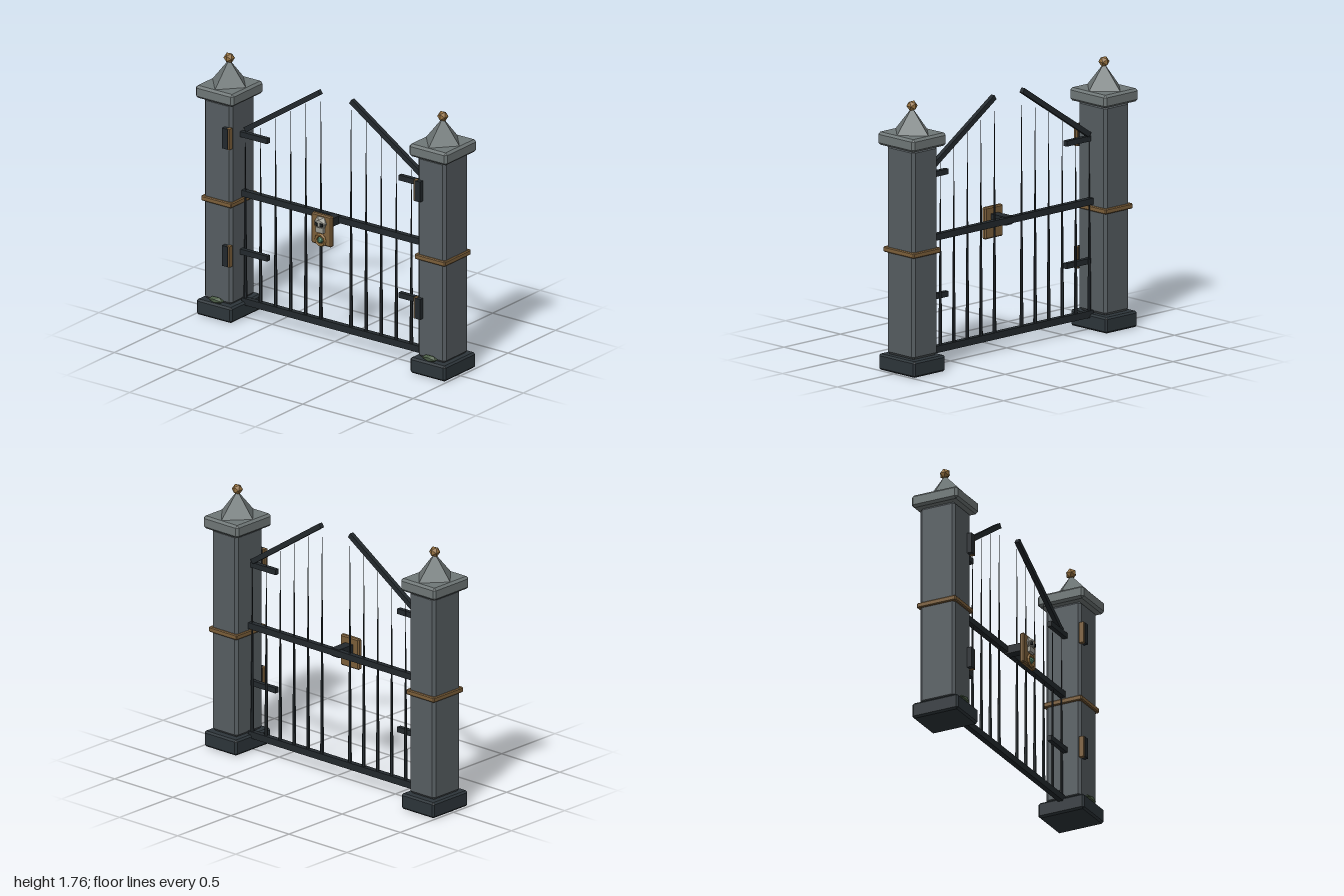
import * as THREE from 'three';
import { ConvexGeometry } from 'three/addons/geometries/ConvexGeometry.js';

const mat = (color) => new THREE.MeshStandardMaterial({ color, flatShading: true });
const stone = mat(0x565d61), capStone = mat(0x6f7777), darkStone = mat(0x2d353a);
const iron = mat(0x23292d), bronze = mat(0x7c5f3a), gold = mat(0x94703f);
const moss = mat(0x4a5c45), bone = mat(0x9b9a92), gem = mat(0x5f9a7c), dark = mat(0x1c2022);

const Z = -0.012; // plane of the gate

function add(parent, name, geometry, material, x, y, z) {
  const mesh = new THREE.Mesh(geometry, material);
  mesh.name = name;
  mesh.position.set(x, y, z);
  parent.add(mesh);
  return mesh;
}

const box = (w, h, d) => new THREE.BoxGeometry(w, h, d);

// Box with every edge cut at 45 degrees
function chamferBox(w, h, d, c) {
  const points = [], half = [w / 2, h / 2, d / 2];
  for (let axis = 0; axis < 3; axis++)
    for (const sx of [-1, 1]) for (const sy of [-1, 1]) for (const sz of [-1, 1]) {
      const p = half.map((v, i) => (i === axis ? v : v - c));
      points.push(new THREE.Vector3(p[0] * sx, p[1] * sy, p[2] * sz));
    }
  return new ConvexGeometry(points);
}

// Stone pillar with its cap, finial, band and moss
function createPillar(side) {
  const g = new THREE.Group();
  g.name = side > 0 ? 'leftPillar' : 'rightPillar';
  const x = side * 0.85;
  add(g, 'base', chamferBox(0.28, 0.105, 0.33, 0.012), darkStone, x, 0.0525, Z);
  add(g, 'shaft', chamferBox(0.22, 1.37, 0.252, 0.018), stone, x, 0.79, Z);
  add(g, 'band', chamferBox(0.242, 0.035, 0.28, 0.006), bronze, x, 0.79, Z);
  add(g, 'capSlab', chamferBox(0.3, 0.085, 0.33, 0.015), capStone, x, 1.515, Z);
  add(g, 'capPyramid', new THREE.ConeGeometry(1, 0.165, 4), capStone, x, 1.637, Z).scale.set(0.135, 1, 0.152);
  add(g, 'finial', new THREE.IcosahedronGeometry(0.036, 0), gold, x, 1.73, Z);
  add(g, 'moss', new THREE.IcosahedronGeometry(1, 0), moss, x, 0.122, 0.125).scale.set(0.062, 0.022, 0.027);
  return g;
}

// Gate leaf: sloping top rail, tapering bars and hinges
function createLeaf(side) {
  const g = new THREE.Group();
  g.name = side > 0 ? 'leftLeaf' : 'rightLeaf';
  const outer = [0.715, 1.275], inner = [0.125, 1.665];
  const dx = inner[0] - outer[0], dy = inner[1] - outer[1];
  const rail = add(g, 'topRail', box(Math.hypot(dx, dy), 0.034, 0.03), iron,
    side * (outer[0] + inner[0]) / 2, (outer[1] + inner[1]) / 2, Z);
  rail.rotation.z = side * Math.atan2(dy, dx) + (side < 0 ? Math.PI : 0);

  for (let i = 0; i < 6; i++) {
    const x = 0.12 * (i + 1);
    const tip = 1.64 - 0.079 * i, foot = 0.1;
    add(g, 'bar', new THREE.CylinderGeometry(0.0008, 0.0125, tip - foot, 6), iron, side * x, (tip + foot) / 2, Z);
  }
  for (const y of [0.445, 1.245]) {
    add(g, 'hingeStrap', box(0.22, 0.036, 0.03), iron, side * 0.634, y, 0.006);
    add(g, 'hingePlate', box(0.044, 0.138, 0.04), iron, side * 0.766, y, 0.125);
    add(g, 'hingePin', box(0.022, 0.142, 0.032), bronze, side * 0.743, y, 0.125);
  }
  return g;
}

// Lock plate with a small skull and a gem in a ring
function createLock() {
  const g = new THREE.Group();
  g.name = 'lock';
  add(g, 'lockStem', box(0.064, 0.055, 0.14), iron, 0, 0.835, 0.05);
  add(g, 'lockPlate', chamferBox(0.16, 0.208, 0.034, 0.008), bronze, 0, 0.804, 0.129);
  add(g, 'skull', new THREE.IcosahedronGeometry(1, 0), bone, 0, 0.855, 0.145).scale.set(0.052, 0.046, 0.032);
  add(g, 'jaw', box(0.06, 0.035, 0.028), bone, 0, 0.808, 0.152);
  for (const side of [-1, 1])
    add(g, 'eye', box(0.018, 0.02, 0.012), dark, side * 0.02, 0.848, 0.169);
  add(g, 'ring', new THREE.TorusGeometry(0.035, 0.011, 5, 10), gold, 0, 0.738, 0.152);
  add(g, 'gem', new THREE.IcosahedronGeometry(0.022, 0), gem, 0, 0.738, 0.154);
  return g;
}

export function createModel() {
  const model = new THREE.Group();
  model.name = 'gate';
  for (const side of [-1, 1]) model.add(createPillar(side), createLeaf(side));
  add(model, 'bottomRail', box(1.48, 0.045, 0.036), iron, 0, 0.104, Z);
  add(model, 'middleRail', box(1.48, 0.042, 0.036), iron, 0, 0.838, Z);
  model.add(createLock());
  return model;
}
